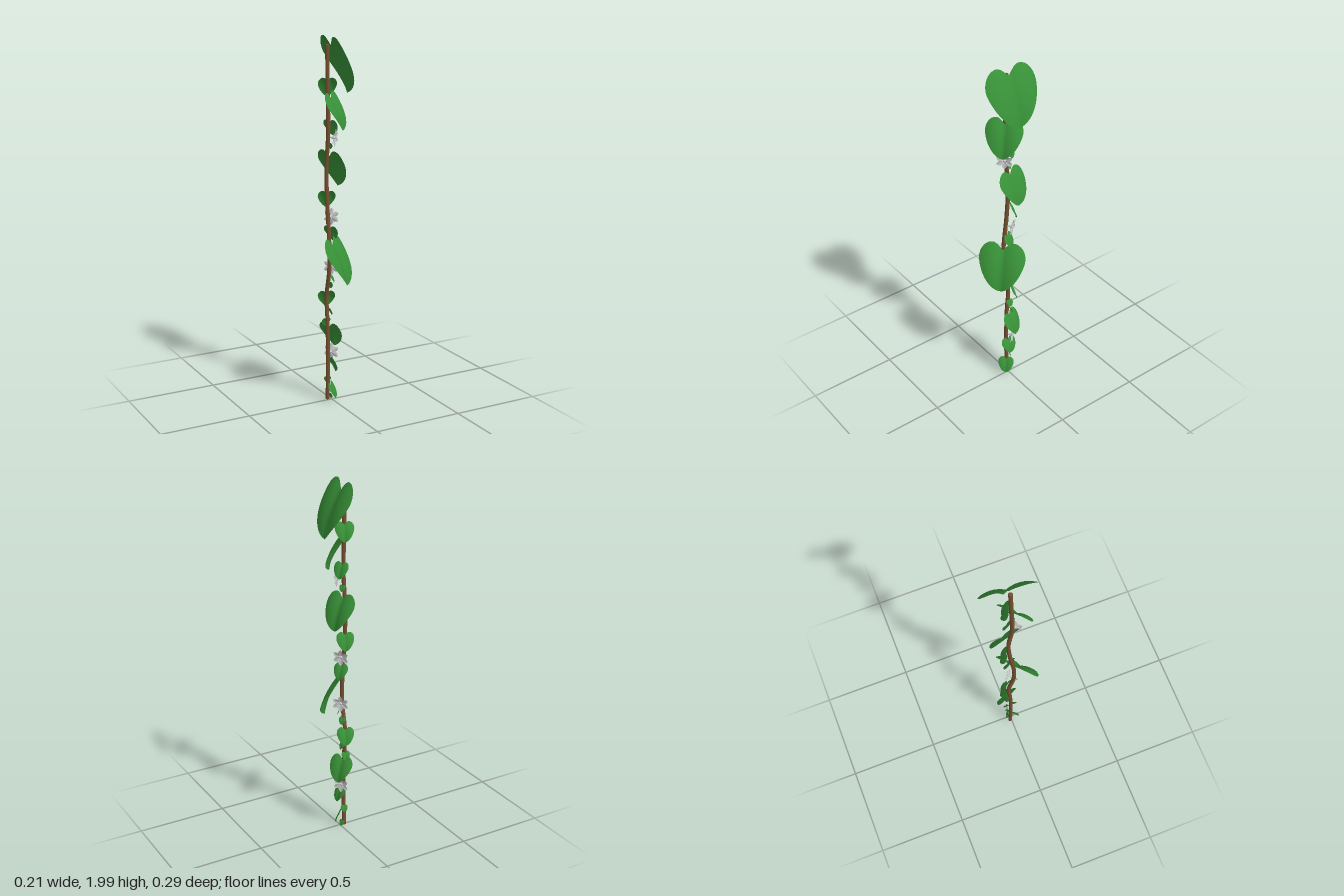
import * as THREE from 'three';

const green = new THREE.MeshStandardMaterial({ color: 0x389238, side: THREE.DoubleSide });
const brown = new THREE.MeshStandardMaterial({ color: 0x765030 });
const grey = new THREE.MeshStandardMaterial({ color: 0xcccccc, side: THREE.DoubleSide });

// Stem path
const VINE_X = -0.022;
const vine = new THREE.CatmullRomCurve3([
  [0.01, -0.008], [0.2, -0.003], [0.45, -0.008], [0.6, -0.018], [0.75, 0.012], [0.9, 0.013],
  [1.1, -0.008], [1.3, -0.018], [1.5, 0.002], [1.7, -0.002], [1.95, -0.008],
].map(([y, z]) => new THREE.Vector3(VINE_X, y, z)));
const samples = vine.getPoints(200);
const vineZ = (y) => samples.reduce((a, b) => (Math.abs(b.y - y) < Math.abs(a.y - y) ? b : a)).z;

// Heart-shaped blade of half-width 1, notch at the origin, tip pointing down, face to +z
function heartGeometry() {
  const geo = new THREE.PlaneGeometry(2, 2, 24, 10);
  const p = geo.attributes.position;
  for (let i = 0; i < p.count; i++) {
    const u = 0.9995 * Math.sin(p.getX(i) * Math.PI / 2);
    const s = Math.abs(u);
    const top = s < 0.45
      ? -0.35 * Math.sin((s / 0.45) * Math.PI / 2)
      : 0.35 - 0.7 * Math.sqrt(1 - ((s - 0.45) / 0.55) ** 2);
    const bottom = 0.35 + 1.48 * (1 - s ** 1.7) ** 0.65;
    const v = THREE.MathUtils.lerp(bottom, top, (p.getY(i) + 1) / 2);
    // Grooved midrib, rounded lobes and drooping tip
    const lift = 0.48 * s - 0.5 * s * s - 0.11 * v * v + 0.14 * v;
    p.setXYZ(i, u, -v, lift);
  }
  geo.computeVertexNormals();
  return geo;
}

// Broad pointed petal along +y, slightly cupped
function petalGeometry() {
  const geo = new THREE.PlaneGeometry(2, 1, 4, 6);
  const p = geo.attributes.position;
  for (let i = 0; i < p.count; i++) {
    const t = p.getY(i) + 0.5;
    const w = 0.001 + 0.0125 * Math.sin(Math.PI * t ** 1.2);
    const x = p.getX(i);
    p.setXYZ(i, x * w, 0.003 + 0.044 * t, 0.022 * t - 0.012 * t * t + 0.003 * x * x);
  }
  geo.computeVertexNormals();
  return geo;
}

export function createModel() {
  const model = new THREE.Group();
  model.name = 'floweringVine';
  const add = (parent, name, geo, mat) => {
    const mesh = new THREE.Mesh(geo, mat);
    mesh.name = name;
    parent.add(mesh);
    return mesh;
  };

  // Stem with closed ends
  add(model, 'stem', new THREE.TubeGeometry(vine, 80, 0.0115, 8), brown);
  for (const end of [0, 1]) {
    const cap = add(model, 'stemEnd', new THREE.SphereGeometry(0.0115, 8, 6), brown);
    cap.position.copy(vine.getPoint(end));
    cap.scale.y = 0.4;
  }

  // Places a part on the stem, facing outward (0 degrees = +x, 90 = +z)
  const place = (part, y, degrees, out, tilt) => {
    const a = THREE.MathUtils.degToRad(degrees);
    part.position.set(VINE_X + out * Math.cos(a), y, vineZ(y) + out * Math.sin(a));
    part.rotation.set(tilt, Math.PI / 2 - a, 0, 'YXZ');
  };

  // Leaves: [notch height, facing, width]
  const heart = heartGeometry();
  const leaves = [
    [1.948, 4, 0.29], [1.678, 48, 0.196], [1.367, -16, 0.193], [0.895, 48, 0.255],
    [0.424, -26, 0.142], [0.243, 0, 0.092], [0.093, 44, 0.09],
    [1.765, -65, 0.1], [1.55, -30, 0.085], [1.165, -65, 0.095], [0.98, -30, 0.085],
    [0.61, -65, 0.095], [0.525, 0, 0.042], [0.72, 40, 0.042], [0.465, -85, 0.05],
    [0.13, -70, 0.04], [0.035, -15, 0.035], [0.675, -30, 0.04], [1.435, -30, 0.035],
  ];
  for (const [y, facing, width] of leaves) {
    const leaf = add(model, 'leaf', heart, green);
    leaf.scale.setScalar(width / 2);
    place(leaf, y, facing, 0.013 + 0.022 * width, -0.42);
  }

  // Six-petalled flowers: [height, facing]
  const petal = petalGeometry();
  for (const [y, facing] of [[1.472, 45], [1.04, -35], [0.765, -45], [0.277, -35]]) {
    const flower = new THREE.Group();
    flower.name = 'flower';
    for (let i = 0; i < 6; i++) {
      add(flower, 'petal', petal, grey).rotation.z = (i * Math.PI) / 3;
    }
    add(flower, 'flowerCentre', new THREE.SphereGeometry(0.008, 10, 8), grey).position.z = 0.004;
    const stalk = add(flower, 'flowerStalk', new THREE.CylinderGeometry(0.008, 0.003, 0.02, 8), grey);
    stalk.rotation.x = Math.PI / 2;
    stalk.position.z = -0.008;
    place(flower, y, facing, 0.028, 0.08);
    model.add(flower);
  }
  return model;
}
